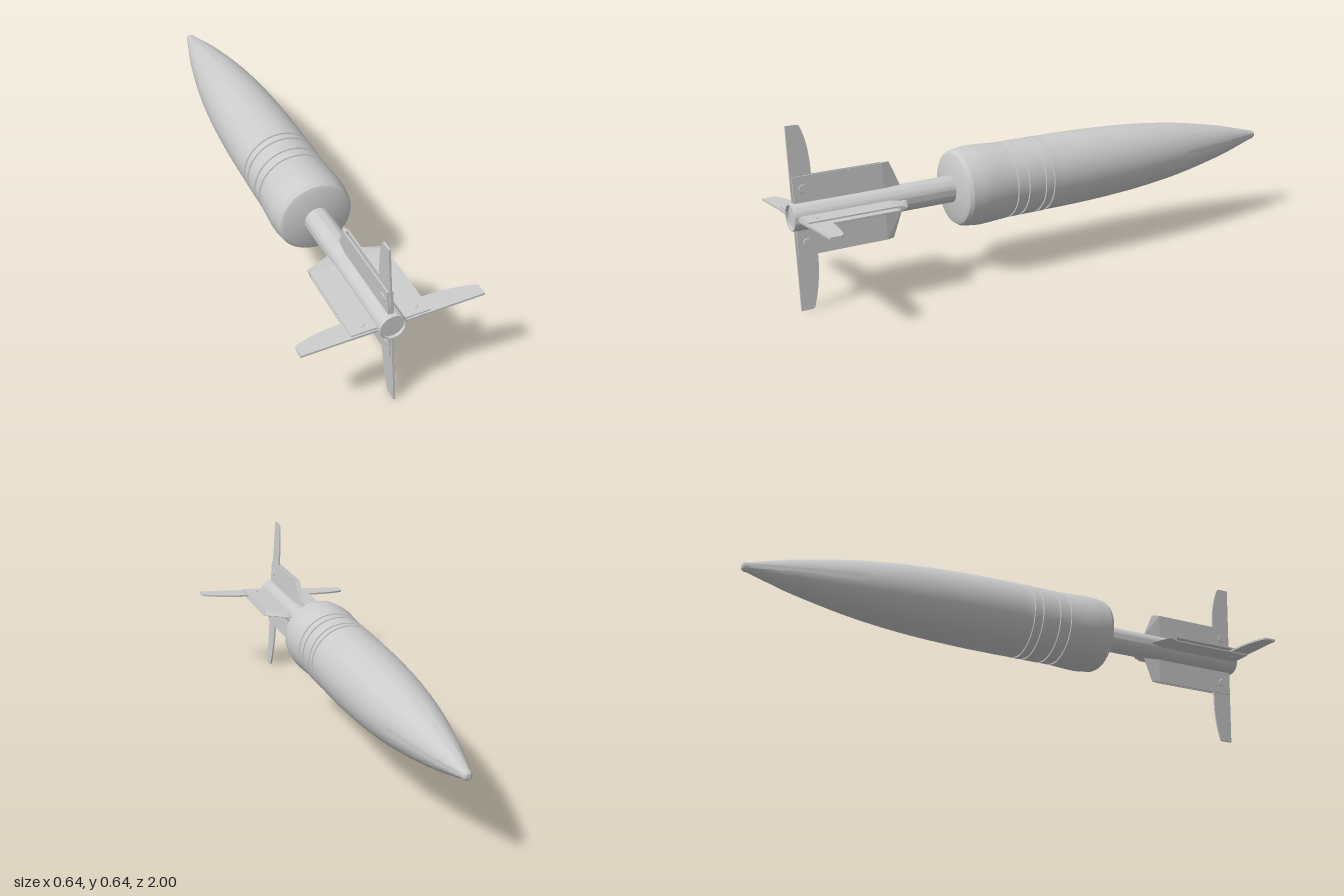
import * as THREE from 'three';
import { toCreasedNormals } from 'three/addons/utils/BufferGeometryUtils.js';

const grey = new THREE.MeshStandardMaterial({ color: 0xcccccc, side: THREE.DoubleSide });

function part(name, geometry) {
  const mesh = new THREE.Mesh(geometry, grey);
  mesh.name = name;
  return mesh;
}

// Turned part along z from [z, radius] pairs
function turned(name, profile) {
  const geo = new THREE.LatheGeometry(profile.map(([z, r]) => new THREE.Vector2(r, z)), 64);
  geo.rotateX(Math.PI / 2);
  return part(name, toCreasedNormals(geo, 0.4));
}

// Flat plate: outline in (radius, z), centred on y = offset
function plate(outline, thickness, offset = 0) {
  const shape = outline instanceof THREE.Shape
    ? outline : new THREE.Shape(outline.map(([r, z]) => new THREE.Vector2(r, z)));
  const geo = new THREE.ExtrudeGeometry(shape, { depth: thickness, bevelEnabled: false, curveSegments: 10 });
  geo.translate(0, 0, -thickness / 2 - offset);
  return geo.rotateX(Math.PI / 2);
}

function createFin(bladeLength) {
  const fin = new THREE.Group();
  fin.name = 'fin';

  // Two side plates with an open slot between them
  for (const side of [-1, 1]) {
    const sheet = [[0.04, 0.66], [0.137, 0.66], [0.137, 0.985], [0.04, 0.985]];
    fin.add(part('finSidePlate', plate(sheet, 0.005, side * 0.0075)));

    // Rivet heads over the blade root
    const rivet = part('rivet', new THREE.CylinderGeometry(0.014, 0.016, 0.003, 20));
    rivet.position.set(0.093, side * 0.011, 0.95);
    if (side < 0) rivet.rotation.x = Math.PI;
    fin.add(rivet);
  }

  // Spine closing the slot at the tube
  fin.add(part('finSpine', plate([[0.04, 0.66], [0.075, 0.66], [0.075, 0.985], [0.04, 0.985]], 0.012)));

  // Leading wedge tapering to a sharp edge
  const wedge = plate([[0.04, 0.592], [0.137, 0.632], [0.137, 0.66], [0.04, 0.66]], 0.02);
  const pos = wedge.attributes.position;
  for (let i = 0; i < pos.count; i++) {
    if (pos.getZ(i) < 0.65) pos.setY(i, pos.getY(i) * 0.1);
  }
  wedge.computeVertexNormals();
  fin.add(part('finLeadingEdge', wedge));

  // Curved blade sweeping out past the plates
  const blade = new THREE.Shape();
  blade.moveTo(0.05, 0.99);
  blade.lineTo(0.05, 0.915);
  blade.lineTo(0.16, 0.915);
  blade.quadraticCurveTo(0.25, 0.917, bladeLength - 0.004, 0.942);
  blade.lineTo(bladeLength, 0.95);
  blade.lineTo(bladeLength, 0.99);
  fin.add(part('finBlade', plate(blade, 0.007)));
  return fin;
}

export function createModel() {
  const model = new THREE.Group();
  model.name = 'finnedProjectile';
  const axis = new THREE.Group();
  axis.name = 'projectile';
  axis.position.set(-0.009, 0.332, 0);
  model.add(axis);

  // Ogive from the nose to the grooved band
  const ogive = new THREE.SplineCurve([
    [-0.972, 0.02], [-0.9, 0.039], [-0.8, 0.064], [-0.6, 0.101], [-0.4, 0.124],
    [-0.2, 0.135], [-0.05, 0.138], [0.04, 0.138],
  ].map(p => new THREE.Vector2(...p))).getPoints(40).map(p => [p.x, p.y]);

  // Shallow grooves around the band
  const grooves = [0.05, 0.085, 0.155, 0.2].flatMap(z =>
    [[z - 0.005, 0.139], [z - 0.004, 0.134], [z + 0.004, 0.134], [z + 0.005, 0.139]]);

  // Bulged rear with a bevelled, gently coned base
  const rear = [[0.22, 0.14], [0.27, 0.143], [0.31, 0.145], [0.33, 0.144],
    [0.375, 0.138], [0.388, 0.13], [0.394, 0.118], [0.402, 0.045]];
  axis.add(turned('body', [...ogive, ...grooves, ...rear]));

  // Rounded nose cap
  axis.add(turned('noseCap', [[-1, 0], [-0.999, 0.008], [-0.995, 0.014], [-0.987, 0.0175],
    [-0.976, 0.0185], [-0.97, 0.02]]));

  // Tail tube with a rimmed, recessed end
  axis.add(turned('tailTube', [[0.38, 0.048], [0.994, 0.048], [1, 0.046], [1, 0.042],
    [0.99, 0.041], [0.99, 0]]));

  // Four fins, rolled slightly about the axis
  [0.328, 0.31, 0.31, 0.33].forEach((length, i) => {
    const fin = createFin(length);
    fin.rotation.z = 0.082 + i * Math.PI / 2;
    axis.add(fin);
  });

  return model;
}
